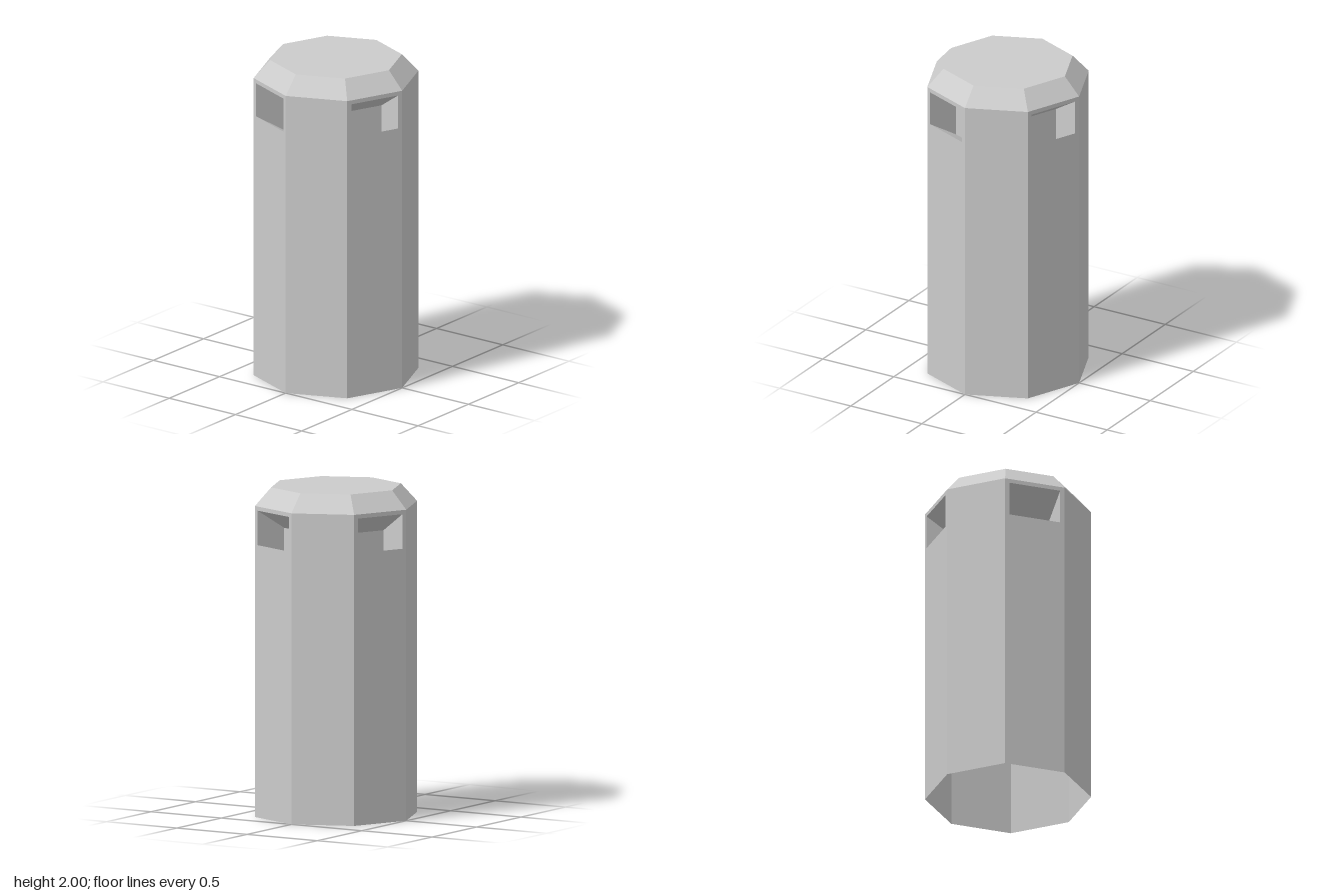
import * as THREE from 'three';

const SIDES = 8, RADIUS = 0.5, WALL_TOP = 1.89;
const APOTHEM = RADIUS * Math.cos(Math.PI / SIDES);
const HALF = RADIUS * Math.sin(Math.PI / SIDES);
// Slot opening, and how far it runs inward and downward
const SLOT = { w: 0.325, y0: 1.655, y1: 1.865, depth: 0.195, drop: 0.12 };

const material = new THREE.MeshStandardMaterial({
  color: 0xcccccc, flatShading: true, side: THREE.DoubleSide,
});

function rectangle(path, halfW, y0, y1) {
  return path.moveTo(-halfW, y0).lineTo(halfW, y0).lineTo(halfW, y1).lineTo(-halfW, y1).closePath();
}

// One flat side of the octagon, optionally pierced by the slot opening
function wallGeometry(pierced) {
  const shape = rectangle(new THREE.Shape(), HALF, 0, WALL_TOP);
  if (pierced) shape.holes.push(rectangle(new THREE.Path(), SLOT.w / 2, SLOT.y0, SLOT.y1));
  return new THREE.ShapeGeometry(shape).translate(0, 0, APOTHEM);
}

// Box without its front face, turned inside out and sheared downward to the back
function recessGeometry() {
  const geo = new THREE.BoxGeometry(SLOT.w, SLOT.y1 - SLOT.y0, SLOT.depth);
  const index = Array.from(geo.index.array);
  index.splice(24, 6);
  geo.setIndex(index.reverse());
  geo.clearGroups();
  geo.translate(0, (SLOT.y0 + SLOT.y1) / 2, -SLOT.depth / 2);
  const p = geo.attributes.position;
  for (let i = 0; i < p.count; i++) {
    p.setY(i, p.getY(i) + (p.getZ(i) / SLOT.depth) * SLOT.drop);
  }
  geo.translate(0, 0, APOTHEM);
  geo.computeVertexNormals();
  return geo;
}

export function createModel() {
  const model = new THREE.Group();
  model.name = 'bollard';

  const add = (name, geometry, angle = 0) => {
    const mesh = new THREE.Mesh(geometry, material);
    mesh.name = name;
    mesh.rotation.y = angle;
    model.add(mesh);
  };

  // Walls, every second one with a slanted recess; the base stays open
  const plain = wallGeometry(false), pierced = wallGeometry(true), recess = recessGeometry();
  for (let i = 0; i < SIDES; i++) {
    const angle = (i - 0.5) * (2 * Math.PI / SIDES);
    const hasSlot = i % 2 === 0;
    add(hasSlot ? 'slottedWall' : 'plainWall', hasSlot ? pierced : plain, angle);
    if (hasSlot) add('slotRecess', recess, angle);
  }

  // Chamfered cap
  const profile = [[RADIUS, WALL_TOP], [0.4, 2], [0, 2]].map(([r, y]) => new THREE.Vector2(r, y));
  add('cap', new THREE.LatheGeometry(profile, SIDES));

  return model;
}
